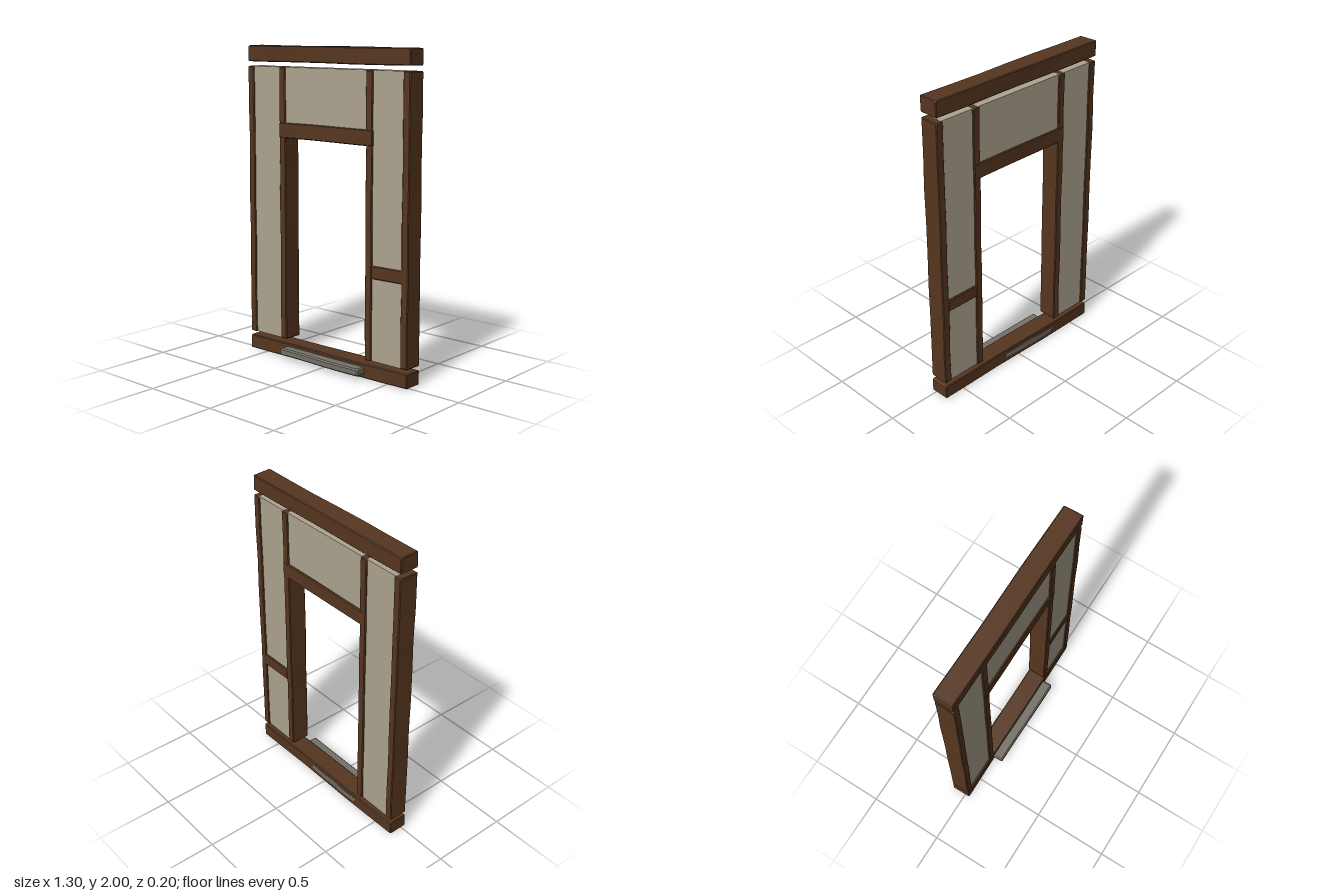
import * as THREE from 'three';

const wood = new THREE.MeshStandardMaterial({ color: 0x56361f, flatShading: true });
const plaster = new THREE.MeshStandardMaterial({ color: 0xada48f, flatShading: true });
const stone = new THREE.MeshStandardMaterial({ color: 0x75716a, flatShading: true });

// Chamfered bar along z, centred, with evenly spaced rings
function barGeometry(w, h, length, c, steps) {
  const x = w / 2, y = h / 2;
  const outline = [[x - c, -y], [x, -y + c], [x, y - c], [x - c, y],
    [-x + c, y], [-x, y - c], [-x, -y + c], [-x + c, -y]];
  const shape = new THREE.Shape(outline.map(([a, b]) => new THREE.Vector2(a, b)));
  const geo = new THREE.ExtrudeGeometry(shape, {
    depth: length - 2 * c, steps, bevelEnabled: true, bevelSegments: 1,
    bevelThickness: c, bevelSize: c * 0.8, bevelOffset: -c * 0.8,
  });
  return geo.translate(0, 0, c - length / 2);
}

// Slight hand-hewn unevenness, a smooth function of position
function roughen(geo, amount) {
  const p = geo.attributes.position;
  for (let i = 0; i < p.count; i++) {
    const x = p.getX(i), y = p.getY(i), z = p.getZ(i);
    p.setXYZ(i,
      x + amount * Math.sin(9 * y + 23 * z + 1),
      y + amount * Math.sin(8 * x + 17 * z + 2),
      z + amount * Math.sin(7 * x + 11 * y));
  }
  geo.computeVertexNormals();
  return geo;
}

const Z0 = -0.096, Z1 = 0.03; // back and front of the timber frame

export function createModel() {
  const model = new THREE.Group();

  function add(name, geo, material) {
    const mesh = new THREE.Mesh(geo, material);
    mesh.name = name;
    model.add(mesh);
  }

  // Timber between two corners, running along its longer direction
  function timber(name, x0, x1, y0, y1, z0 = Z0, z1 = Z1) {
    const w = x1 - x0, h = y1 - y0, d = z1 - z0;
    const geo = w > h
      ? barGeometry(d, h, w, 0.005, 6).rotateY(Math.PI / 2)
      : barGeometry(w, d, h, 0.005, 8).rotateX(Math.PI / 2);
    geo.translate((x0 + x1) / 2, (y0 + y1) / 2, (z0 + z1) / 2);
    add(name, roughen(geo, 0.0015), wood);
  }

  // Infill panel, set back a little from both faces of the frame
  function panel(name, x0, x1, y0, y1) {
    const geo = new THREE.BoxGeometry(x1 - x0, y1 - y0, 0.108);
    geo.translate((x0 + x1) / 2, (y0 + y1) / 2, (Z0 + Z1) / 2);
    add(name, geo, plaster);
  }

  // Horizontal beams
  timber('topBeam', -0.647, 0.647, 1.9, 2.0);
  timber('sillBeam', -0.647, 0.647, 0.005, 0.095);
  timber('lintel', -0.376, 0.376, 1.428, 1.524, Z0 - 0.002, Z1 + 0.002);
  timber('sideRail', 0.37, 0.605, 0.635, 0.715);

  // Posts: outer pair and door jambs
  for (const [side, s] of [['left', 1], ['right', -1]]) {
    for (const [name, c] of [['OuterPost', 0.622], ['DoorPost', 0.35]]) {
      timber(side + name, s * c - 0.025, s * c + 0.025, 0.122, 1.87);
    }
  }

  // Plaster infill
  panel('rightPanel', -0.605, -0.37, 0.122, 1.87);
  panel('leftPanel', 0.37, 0.605, 0.122, 1.87);
  panel('overDoorPanel', -0.33, 0.33, 1.5, 1.87);

  // Doorstep slab through the sill, bulging a little at the back
  const step = barGeometry(0.19, 0.046, 0.65, 0.008, 8).rotateY(Math.PI / 2);
  const p = step.attributes.position;
  for (let i = 0; i < p.count; i++) {
    if (p.getZ(i) < -0.08) {
      const bulge = Math.max(0, 1 - Math.abs(p.getX(i) + 0.08) / 0.25);
      p.setZ(i, p.getZ(i) - 0.006 * bulge);
    }
  }
  add('doorstep', roughen(step, 0.002).translate(0, 0.052, 0), stone);

  return model;
}
